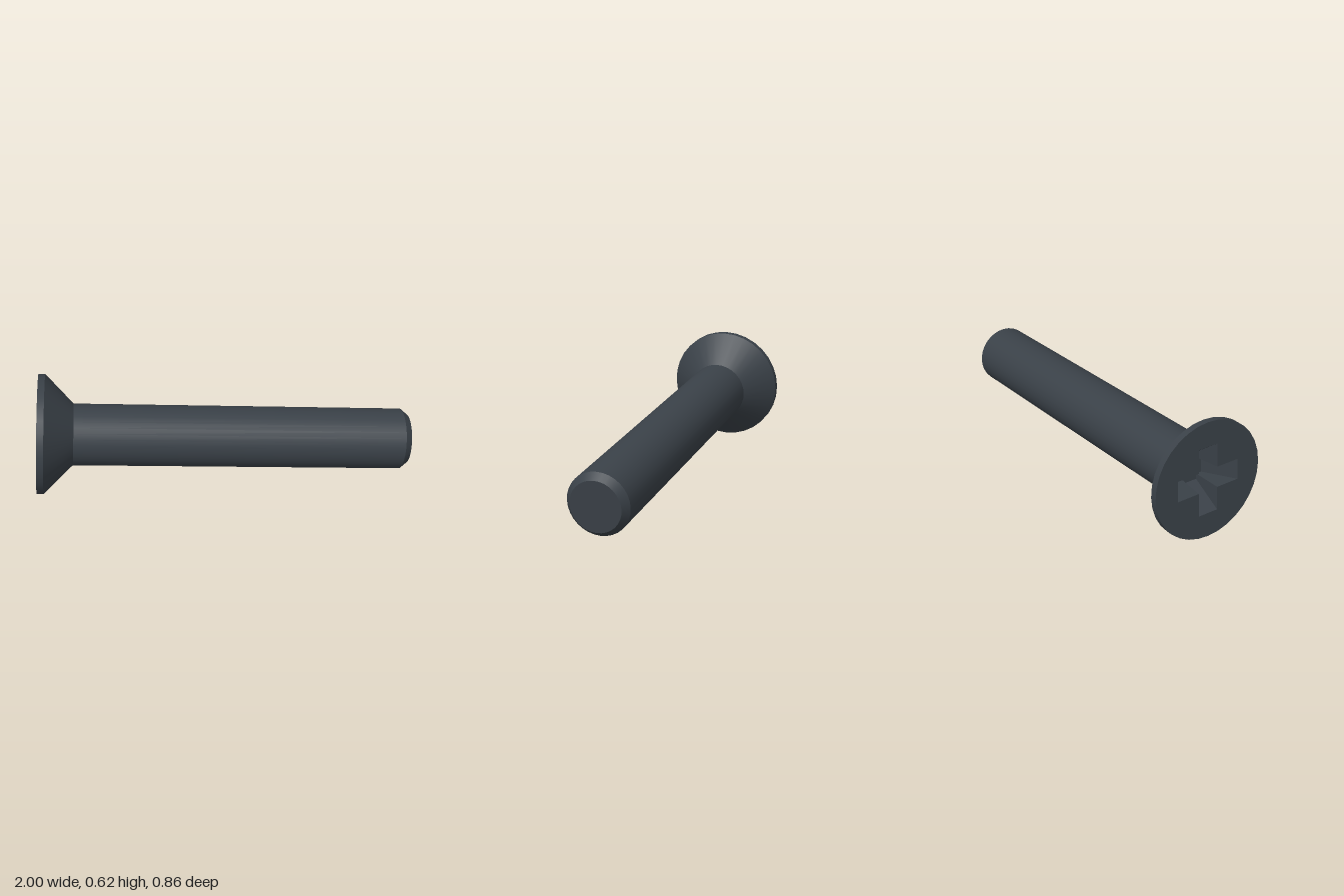
import * as THREE from 'three';

const SEGMENTS = 32;
const HEAD_R = 0.31, SHAFT_R = 0.16, TIP_R = 0.13;
const LENGTH = 1.95;

// Cross outline, counter-clockwise: arm reach a, half arm width w
function crossPoints(a, w) {
  const points = [];
  for (let i = 0; i < 4; i++) {
    const pivot = new THREE.Vector2();
    for (const [x, y] of [[a, -w], [a, w], [w, w]]) {
      points.push(new THREE.Vector2(x, y).rotateAround(pivot, i * Math.PI / 2));
    }
  }
  return points;
}

export function createModel() {
  const model = new THREE.Group();
  model.name = 'countersunkScrew';
  const steel = new THREE.MeshStandardMaterial({ color: 0x3a4148 });
  steel.name = 'darkSteel';

  // The screw is built along local +y, from the head face to the tip
  const screw = new THREE.Group();
  screw.name = 'screw';
  model.add(screw);
  const add = (name, geometry) => {
    const mesh = new THREE.Mesh(geometry, steel);
    mesh.name = name;
    screw.add(mesh);
  };

  // Turned sections, kept separate so the edges between them stay sharp
  const sections = [
    ['headRim', HEAD_R, 0, HEAD_R, 0.035],
    ['headCone', HEAD_R, 0.035, SHAFT_R, 0.182],
    ['shaft', SHAFT_R, 0.182, SHAFT_R, LENGTH - 0.037],
    ['tipChamfer', SHAFT_R, LENGTH - 0.037, TIP_R, LENGTH],
    ['tipFace', TIP_R, LENGTH, 0, LENGTH],
  ];
  for (const [name, r0, y0, r1, y1] of sections) {
    add(name, new THREE.LatheGeometry(
      [new THREE.Vector2(r0, y0), new THREE.Vector2(r1, y1)], SEGMENTS));
  }

  // Flat head face with a cross-shaped opening
  const outer = crossPoints(0.18, 0.055);
  const inner = crossPoints(0.075, 0.045);
  const depth = 0.15;
  const rim = [];
  for (let i = 0; i < SEGMENTS; i++) {
    const t = i / SEGMENTS * Math.PI * 2;
    rim.push(new THREE.Vector2(HEAD_R * Math.cos(t), HEAD_R * Math.sin(t)));
  }
  const face = new THREE.Shape(rim);
  face.holes.push(new THREE.Path(outer));
  add('headFace', new THREE.ShapeGeometry(face).rotateX(Math.PI / 2));

  // Tapered recess walls and floor
  const walls = [];
  outer.forEach((p, i) => {
    const j = (i + 1) % outer.length;
    const q = outer[j], a = inner[i], b = inner[j];
    walls.push(p.x, p.y, 0, q.x, q.y, 0, b.x, b.y, -depth);
    walls.push(p.x, p.y, 0, b.x, b.y, -depth, a.x, a.y, -depth);
  });
  const wallGeometry = new THREE.BufferGeometry();
  wallGeometry.setAttribute('position', new THREE.Float32BufferAttribute(walls, 3));
  wallGeometry.computeVertexNormals();
  add('recessWalls', wallGeometry.rotateX(Math.PI / 2));
  add('recessFloor', new THREE.ShapeGeometry(new THREE.Shape(inner))
    .translate(0, 0, -depth).rotateX(Math.PI / 2));

  // Lay the screw on the ground, resting on its head rim and tip
  const axis = new THREE.Vector3(0.975, -0.078, 0.208).normalize();
  const across = new THREE.Vector3(axis.z, 0, -axis.x).normalize();
  const third = new THREE.Vector3().crossVectors(across, axis);
  screw.quaternion.setFromRotationMatrix(new THREE.Matrix4().makeBasis(across, axis, third));
  screw.position.set(-0.931, 0.312, -0.13);
  return model;
}
